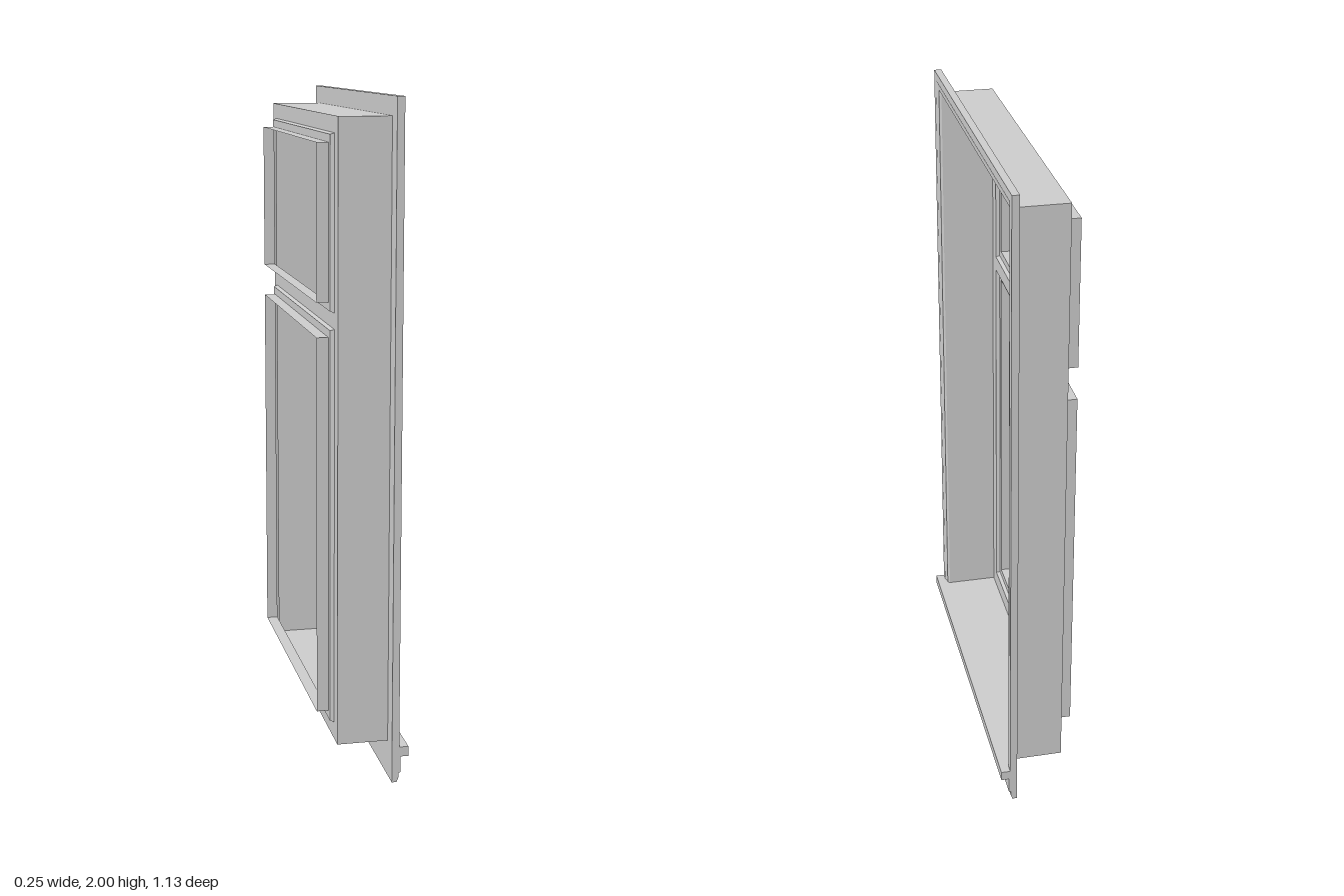
import * as THREE from 'three';

const material = new THREE.MeshStandardMaterial({ color: 0xcccccc, side: THREE.DoubleSide, flatShading: true });
const W = 0.565;          // half width of the casing
const H = 2;              // full height
const SILL = 0.11;        // height of the sill top

function part(name, geometry) {
  const mesh = new THREE.Mesh(geometry, material);
  mesh.name = name;
  return mesh;
}

// Flat quads between successive rows of [x, y, z] points
function loft(rows, closed) {
  const positions = [];
  for (let i = 0; i < rows.length - 1; i++) {
    const a = rows[i], b = rows[i + 1], n = a.length;
    for (let j = 0; j < (closed ? n : n - 1); j++) {
      const k = (j + 1) % n;
      positions.push(...a[j], ...a[k], ...b[k], ...a[j], ...b[k], ...b[j]);
    }
  }
  const geometry = new THREE.BufferGeometry();
  geometry.setAttribute('position', new THREE.Float32BufferAttribute(positions, 3));
  geometry.computeVertexNormals();
  return geometry;
}

// Rectangle of corners at depth x
const rect = (x, w, y0, y1) => [[x, y0, w], [x, y0, -w], [x, y1, -w], [x, y1, w]];

function outline(Type, w, y0, y1) {
  const p = new Type();
  p.moveTo(-w, y0);
  p.lineTo(w, y0);
  p.lineTo(w, y1);
  p.lineTo(-w, y1);
  p.closePath();
  return p;
}

export function createModel() {
  const model = new THREE.Group();
  model.name = 'window';

  // Moulded casing, mitred round both sides and the top: [depth, inset]
  const moulding = [[0.075, 0], [0.097, 0], [0.097, 0.025], [0.092, 0.038],
    [0.092, 0.05], [0.085, 0.055], [0.075, 0.055], [0.075, 0]];
  model.add(part('casing', loft(moulding.map(([x, d]) => [
    [x, SILL, d - W], [x, H - d, d - W], [x, H - d, W - d], [x, SILL, W - d],
  ]), false)));

  // Deep reveal lining
  const top = H - 0.055;
  model.add(part('reveal', loft([
    rect(0.085, 0.51, SILL, top), rect(-0.078, 0.51, SILL, top),
  ], true)));

  // Sill nose and stepped apron
  const profile = new THREE.Shape([
    [0.075, 0], [0.09, 0], [0.095, 0.015], [0.095, 0.03], [0.101, 0.03], [0.101, 0.08],
    [0.125, 0.08], [0.125, 0.11], [0.075, 0.11],
  ].map(([x, y]) => new THREE.Vector2(x, y)));
  const sill = new THREE.ExtrudeGeometry(profile, { depth: 2 * W, bevelEnabled: false });
  sill.translate(0, 0, -W);
  model.add(part('sill', sill));

  // Frame face with transom, one opening for each sash
  const sashes = [['lowerSash', 0.162, 1.347], ['upperSash', 1.394, 1.898]];
  const face = outline(THREE.Shape, 0.51, SILL, top);
  for (const [, y0, y1] of sashes) face.holes.push(outline(THREE.Path, 0.463, y0, y1));
  const faceGeometry = new THREE.ShapeGeometry(face);
  faceGeometry.rotateY(-Math.PI / 2);
  faceGeometry.translate(-0.078, 0, 0);
  model.add(part('frameFace', faceGeometry));

  // Thin stepped sash linings
  for (const [name, y0, y1] of sashes) {
    const steps = [[-0.078, 0], [-0.09, 0.004], [-0.09, 0.027], [-0.125, 0.027]];
    model.add(part(name, loft(
      steps.map(([x, d]) => rect(x, 0.463 - d, y0 + d, y1 - d)), true)));
  }

  return model;
}
